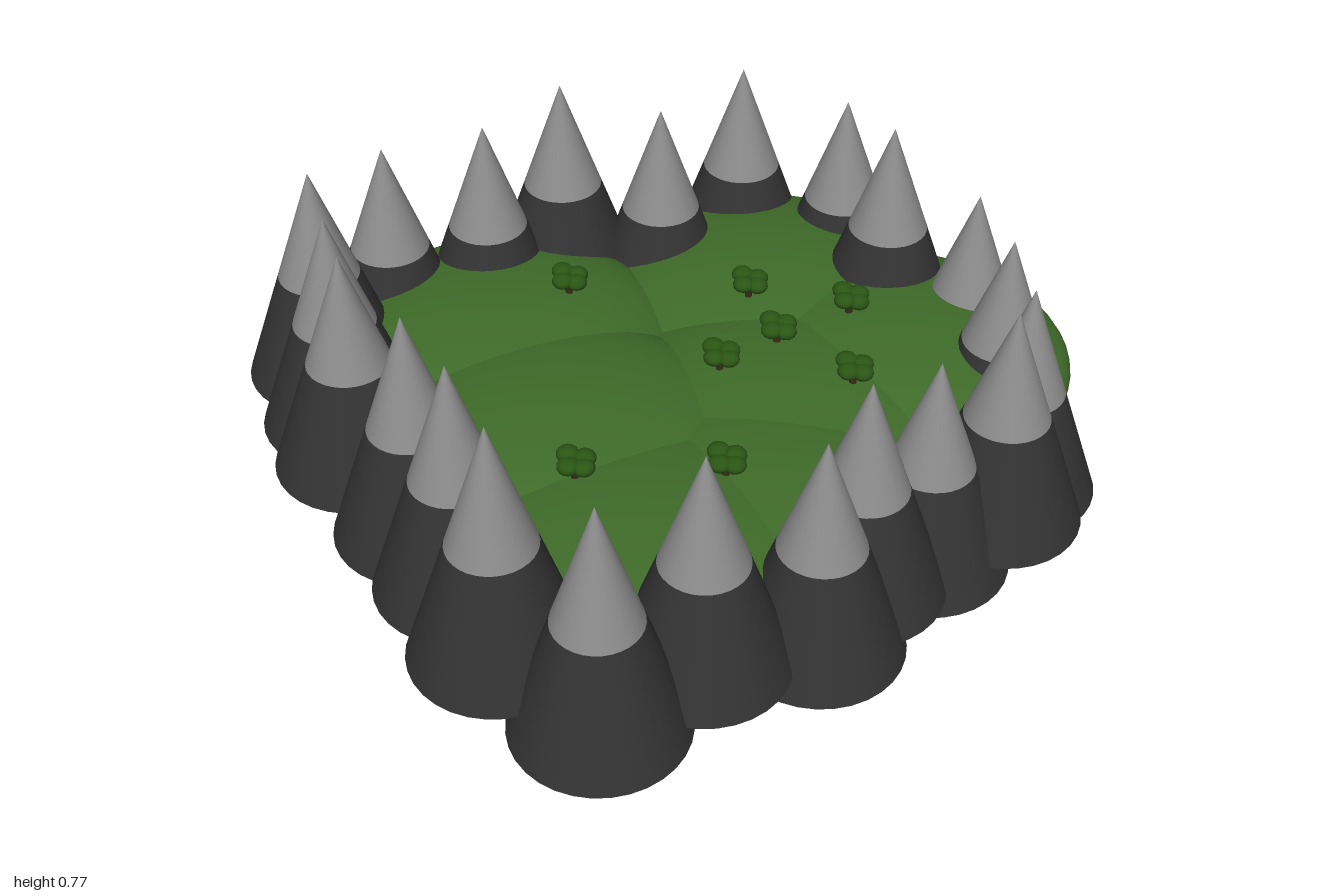
import * as THREE from 'three';

const mat = (color) => new THREE.MeshStandardMaterial({ color });

// Mountains around the rim: x, z, tip height, total height
const PEAKS = [
  [-0.505, -0.70, 0.71, 0.575], [-0.26, -0.755, 0.65, 0.575],
  [-0.03, -0.645, 0.67, 0.575], [0.195, -0.615, 0.715, 0.575],
  [0.377, -0.436, 0.65, 0.575], [0.665, -0.436, 0.66, 0.575],
  [0.795, -0.18, 0.625, 0.575], [0.71, 0.06, 0.69, 0.575],
  [0.78, 0.29, 0.575, 0.575], [0.66, 0.50, 0.605, 0.575],
  [0.548, 0.66, 0.605, 0.575], [0.377, 0.75, 0.675, 0.575],
  [0.19, 0.70, 0.605, 0.575], [-0.03, 0.70, 0.665, 0.58],
  [-0.206, 0.746, 0.63, 0.575], [-0.468, 0.66, 0.69, 0.575],
  [-0.73, 0.628, 0.69, 0.615], [-0.80, 0.377, 0.772, 0.62],
  [-0.72, 0.136, 0.74, 0.615], [-0.67, -0.094, 0.71, 0.61],
  [-0.66, -0.345, 0.73, 0.585], [-0.585, -0.516, 0.71, 0.585],
];

// Overlapping flattened hills forming the valley floor: x, centre y, z
const HILLS = [
  [-0.28, 0.20, -0.03], [-0.15, 0.195, -0.43], [0.5, 0.18, -0.15],
  [0.18, 0.175, 0.22], [0.56, 0.18, 0.27], [-0.38, 0.185, 0.36], [-0.06, 0.17, 0.42],
];
const HILL_R = 0.42, HILL_H = 0.13;

const TREES = [
  [-0.005, -0.35], [0.34, -0.06], [0.085, 0.11], [0.26, 0.125],
  [0.475, 0.16], [-0.43, 0.19], [0.29, 0.355], [-0.165, 0.40],
];

// Height of the valley floor at a point
function groundHeight(x, z) {
  return Math.max(...HILLS.map(([hx, hy, hz]) => {
    const k = 1 - ((x - hx) ** 2 + (z - hz) ** 2) / HILL_R ** 2;
    return k > 0 ? hy + HILL_H * Math.sqrt(k) : 0;
  }));
}

export function createModel() {
  const model = new THREE.Group();
  const rock = mat(0x333333), cap = mat(0x8c8c8c), grass = mat(0x3f6b29);
  const leaf = mat(0x2a5514), bark = mat(0x3a2a18);

  const add = (parent, name, geometry, material, x, y, z) => {
    const mesh = new THREE.Mesh(geometry, material);
    mesh.name = name;
    mesh.position.set(x, y, z);
    parent.add(mesh);
    return mesh;
  };

  // Mountain: dark lower half, pale upper half of one cone
  for (const [x, z, tip, h] of PEAKS) {
    const g = new THREE.Group();
    g.name = 'mountain';
    g.position.set(x, tip - h, z);
    add(g, 'mountainBase', new THREE.CylinderGeometry(0.1, 0.2, h / 2, 32), rock, 0, h / 4, 0);
    add(g, 'mountainCap', new THREE.ConeGeometry(0.1, h / 2, 32), cap, 0, h * 0.75, 0);
    model.add(g);
  }

  // Valley floor
  const hillGeo = new THREE.SphereGeometry(1, 48, 24);
  for (const [x, y, z] of HILLS) {
    add(model, 'hill', hillGeo, grass, x, y, z).scale.set(HILL_R, HILL_H, HILL_R);
  }

  // Trees: short trunk with a cluster of leaf lobes
  const trunkGeo = new THREE.CylinderGeometry(0.008, 0.01, 0.06, 10);
  const lobeGeo = new THREE.SphereGeometry(0.027, 14, 10);
  const lobes = [[0, 0.052, -0.024], [-0.022, 0.046, 0.004], [0.024, 0.046, 0.006], [0.004, 0.042, 0.026]];
  for (const [x, z] of TREES) {
    const g = new THREE.Group();
    g.name = 'tree';
    g.position.set(x, groundHeight(x, z), z);
    add(g, 'trunk', trunkGeo, bark, 0, 0.015, 0);
    for (const [lx, ly, lz] of lobes) add(g, 'foliage', lobeGeo, leaf, lx, ly, lz).scale.y = 0.7;
    model.add(g);
  }
  return model;
}
